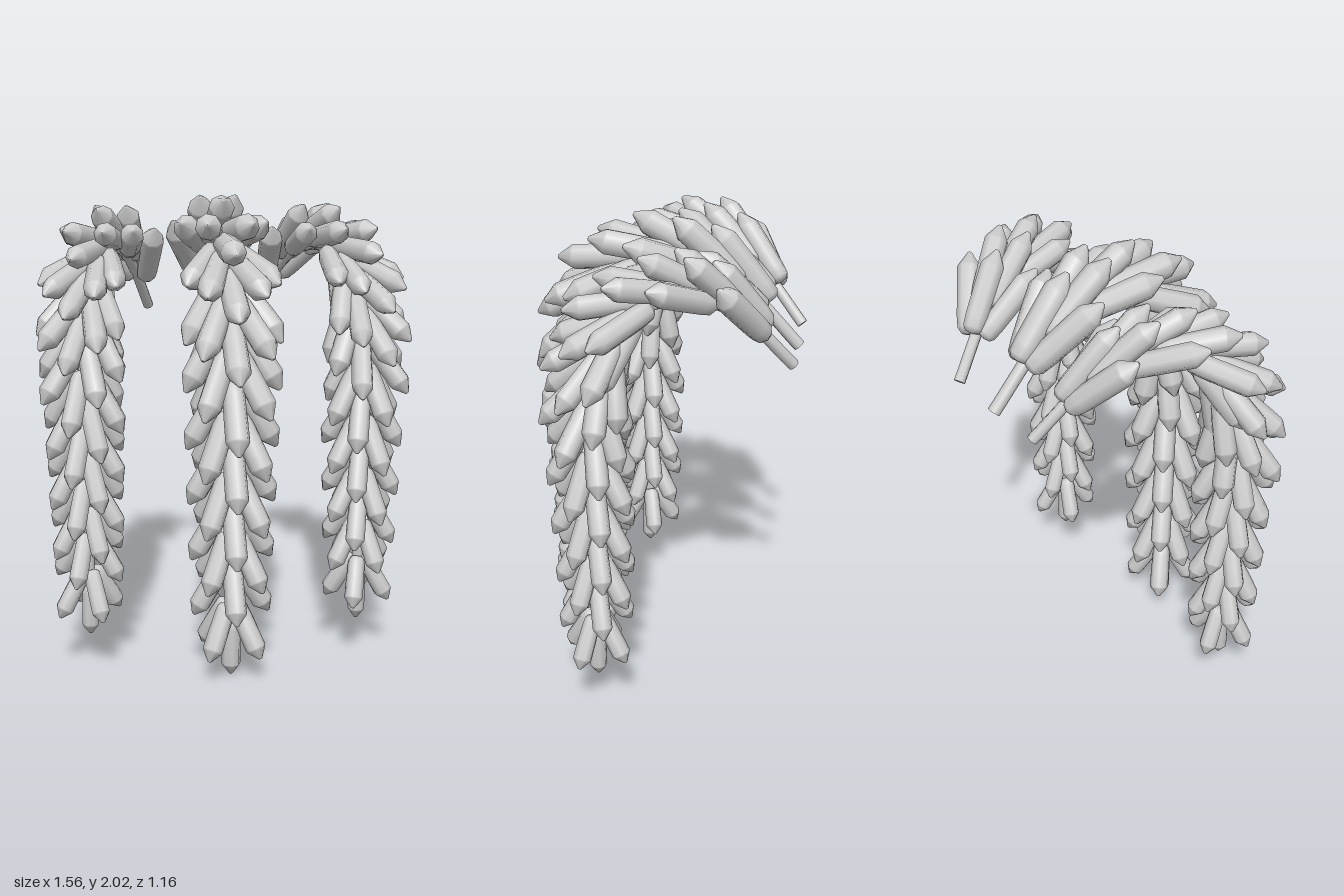
import * as THREE from 'three';

const material = new THREE.MeshStandardMaterial({ color: 0xcccccc, side: THREE.DoubleSide });

// Plump leaf of unit length along +y: rounded base, widening body, short pointed tip
function leafGeometry() {
  const profile = [[0, 0], [0.1, 0.015], [0.145, 0.07], [0.158, 0.2], [0.166, 0.55], [0.168, 0.8],
    [0.155, 0.83], [0.03, 0.995], [0, 1]].map(([r, y]) => new THREE.Vector2(r, y));
  return new THREE.LatheGeometry(profile, 8);
}

// Arching stem: rises from the back, bends over and hangs down (in the y-z plane)
const stemBase = new THREE.Vector3(0, 1.475, -0.56);
const path = new THREE.CatmullRomCurve3([
  stemBase, ...[
    [1.70, -0.34], [1.785, -0.2], [1.82, -0.04], [1.78, 0.13], [1.66, 0.25],
    [1.4, 0.335], [1.1, 0.35], [0.6, 0.35], [0.2, 0.35],
  ].map(([y, z]) => new THREE.Vector3(0, y, z)),
]);

// Distances along the stem of the main whorls; a turned whorl sits between each pair
const nodes = [0.22, 0.5, 0.78, 0.95, 1.13, 1.38, 1.63, 1.89, 2.15, 2.52];

function createTrail(leaf) {
  const trail = new THREE.Group();
  const stem = new THREE.Mesh(new THREE.TubeGeometry(path, 48, 0.027, 8, false), material);
  stem.name = 'stem';
  trail.add(stem);
  const cap = new THREE.Mesh(new THREE.CircleGeometry(0.027, 8), material);
  cap.name = 'stemEnd';
  cap.position.copy(stemBase);
  cap.lookAt(stemBase.clone().sub(path.getTangentAt(0)));
  trail.add(cap);

  const total = path.getLength();
  const side = new THREE.Vector3(1, 0, 0);
  const yAxis = new THREE.Vector3(0, 1, 0);

  const addLeaf = (position, direction, length, width) => {
    const mesh = new THREE.Mesh(leaf, material);
    mesh.name = 'leaf';
    mesh.position.copy(position);
    mesh.quaternion.setFromUnitVectors(yAxis, direction);
    mesh.scale.set(width, length, width);
    trail.add(mesh);
  };

  const addWhorl = (distance, turn) => {
    const u = distance / total;
    const point = path.getPointAt(u);
    const tangent = path.getTangentAt(u);
    const normal = new THREE.Vector3().crossVectors(tangent, side);
    const arch = Math.max(0, 1 - distance ** 3);
    // Leaves shrink towards the hanging end
    const length = 0.41 - 0.065 * distance;
    const width = 0.27 + 0.55 * (length - 0.27);
    for (let i = 0; i < 4; i++) {
      const a = turn + i * Math.PI / 2;
      const out = normal.clone().multiplyScalar(Math.cos(a)).addScaledVector(side, Math.sin(a));
      if (distance < 0.85 && out.y < -0.1) continue; // the underside of the arch stays bare
      // Leaves hug the arch and spread on the hanging part
      const tilt = 0.53 - arch * (0.17 + 0.28 * Math.abs(Math.cos(a)));
      const direction = tangent.clone().multiplyScalar(Math.cos(tilt)).addScaledVector(out, Math.sin(tilt));
      addLeaf(point.clone().addScaledVector(out, 0.025 + 0.015 * arch), direction.normalize(), length, width);
    }
  };

  for (let i = 0; i < nodes.length - 1; i++) {
    addWhorl(nodes[i], 0);
    addWhorl((nodes[i] + nodes[i + 1]) / 2, Math.PI / 4);
  }
  // Leaf closing the hanging end
  addLeaf(new THREE.Vector3(0, 0.26, 0.35), new THREE.Vector3(0, -1, 0), 0.26, 0.25);
  return trail;
}

export function createModel() {
  const model = new THREE.Group();
  model.name = 'trailingSucculent';
  const leaf = leafGeometry();

  const centre = createTrail(leaf);
  centre.name = 'centreTrail';
  model.add(centre);

  // Slightly smaller trails fan out on both sides
  for (const s of [1, -1]) {
    const trail = createTrail(leaf);
    trail.name = s > 0 ? 'leftTrail' : 'rightTrail';
    const scale = 0.9;
    const yaw = s * 0.42;
    const moved = stemBase.clone().multiplyScalar(scale).applyAxisAngle(new THREE.Vector3(0, 1, 0), yaw);
    trail.scale.setScalar(scale);
    trail.rotation.y = yaw;
    trail.position.set(s * 0.258, stemBase.y + 0.01, stemBase.z + 0.005).sub(moved);
    model.add(trail);
  }
  return model;
}
